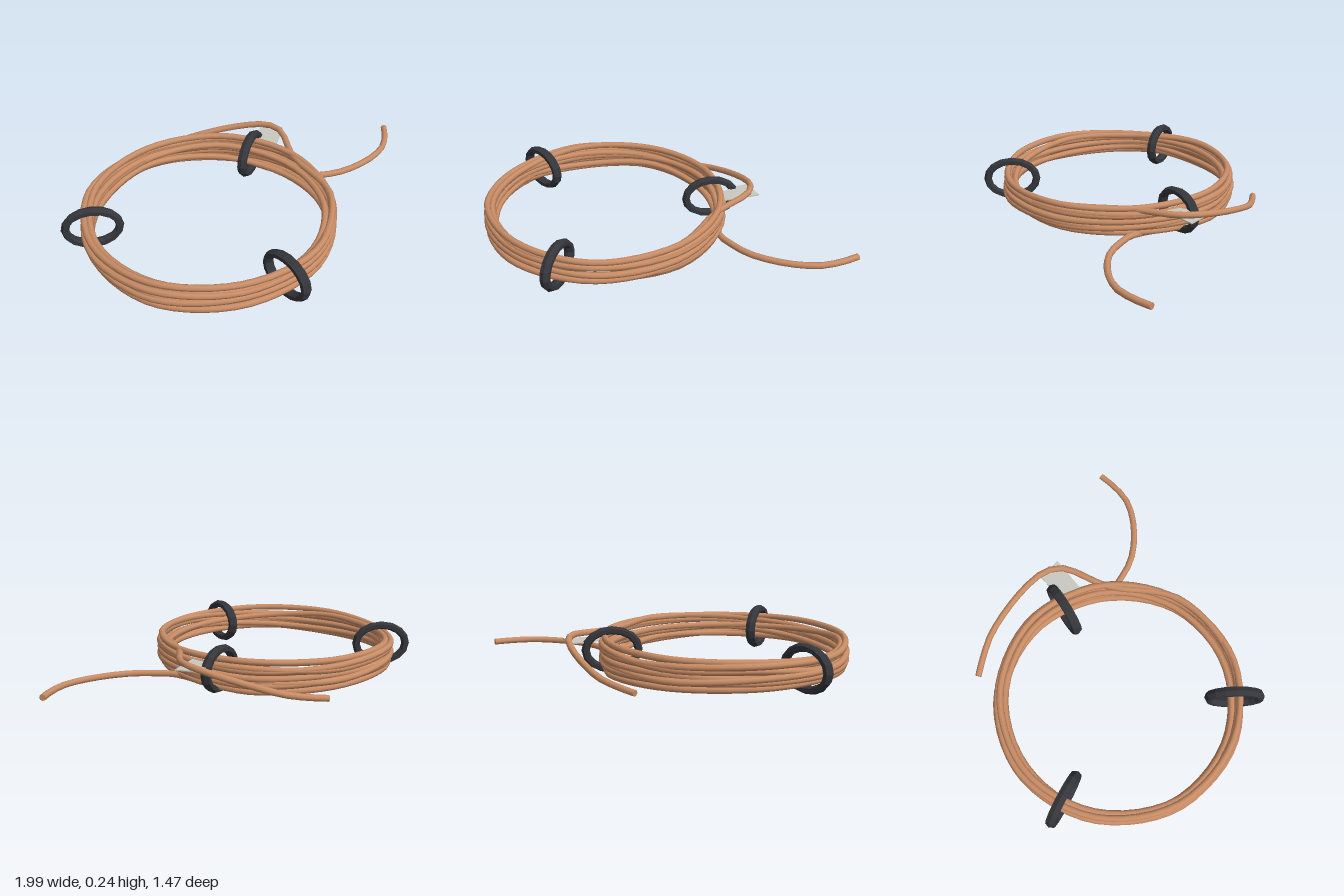
import * as THREE from 'three';

const wireMat = new THREE.MeshStandardMaterial({ color: 0xc98d66, name: 'copper wire' });
const ringMat = new THREE.MeshStandardMaterial({ color: 0x35363b, name: 'dark tie' });
const tagMat = new THREE.MeshStandardMaterial({ color: 0xc9c9c0, name: 'pale tag' });

const CX = -0.35, CZ = -0.015, WIRE = 0.017;

// small seeded random in -1..1
function seeded(seed) {
  let s = seed;
  return () => {
    s = (s * 16807) % 2147483647;
    return (s / 2147483647) * 2 - 1;
  };
}

// one continuous wire: loose tail, irregular turns, loose tail
function makeWire() {
  const rand = seeded(4711);
  const v = (x, y, z) => new THREE.Vector3(x, y, z);
  const pts = [
    v(0.985, 0.045, 0.085), v(0.92, 0.045, 0.14), v(0.82, 0.045, 0.2), v(0.71, 0.045, 0.22),
    v(0.57, 0.045, 0.21), v(0.44, 0.045, 0.17), v(0.34, 0.045, 0.1), v(0.275, 0.045, 0.035),
  ];
  // height of each turn and its lean to the outside or inside of the bundle
  const levels = [0.045, 0.075, 0.11, 0.055, 0.145, 0.185, 0.13, 0.085, 0.165, 0.05, 0.115, 0.175];
  const leans = [0.6, 1, 0.9, -0.7, 1, 0.5, -0.8, 0.9, 0.9, 0.3, -0.6, 0.6];
  const turns = levels.length - 1, knots = 9;
  for (let i = 1; i < turns * knots; i++) {
    const t = i / knots, k = Math.floor(t), f = t - k, a = f * Math.PI * 2;
    const s = f * f * (3 - 2 * f);
    const y = THREE.MathUtils.lerp(levels[k], levels[k + 1], s) + rand() * 0.016;
    const lean = THREE.MathUtils.lerp(leans[k], leans[k + 1], s) + rand() * 0.3;
    // the bundle is tightest on its right side
    const spread = 0.029 - 0.012 * Math.max(0, Math.cos(a));
    const r = 0.602 + spread * THREE.MathUtils.clamp(lean, -1.25, 1.08);
    pts.push(v(CX + r * Math.cos(a), THREE.MathUtils.clamp(y, 0.038, 0.199), CZ - r * Math.sin(a)));
  }
  pts.push(
    v(0.248, 0.175, 0.02), v(0.31, 0.178, -0.08), v(0.37, 0.182, -0.17), v(0.39, 0.185, -0.24),
    v(0.37, 0.175, -0.33), v(0.3, 0.147, -0.44), v(0.2, 0.112, -0.55), v(0.1, 0.08, -0.635),
    v(0.0, 0.06, -0.685), v(-0.105, 0.045, -0.725),
  );
  const curve = new THREE.CatmullRomCurve3(pts);
  const group = new THREE.Group();
  group.name = 'wire';
  const coil = new THREE.Mesh(new THREE.TubeGeometry(curve, 620, WIRE, 8), wireMat);
  coil.name = 'coiledWire';
  group.add(coil);
  // flat cut ends
  for (const [t, dir] of [[0, -1], [1, 1]]) {
    const cap = new THREE.Mesh(new THREE.CircleGeometry(WIRE, 8), wireMat);
    cap.name = 'wireEnd';
    cap.position.copy(curve.getPointAt(t));
    cap.quaternion.setFromUnitVectors(v(0, 0, 1), curve.getTangentAt(t).multiplyScalar(dir));
    group.add(cap);
  }
  return group;
}

// oval tie around the bundle, pointing along the angle in plan
function makeTie(x, z, angle) {
  const geo = new THREE.TorusGeometry(0.13, 0.021, 6, 16);
  const p = geo.attributes.position;
  for (let i = 0; i < p.count; i++) {
    // squash the ring's centre line into an oval, keep the band thickness
    const px = p.getX(i), py = p.getY(i), l = Math.hypot(px, py);
    const off = l - 0.13, c = px / l, s = py / l;
    p.setXYZ(i, c * (0.135 + off), s * (0.1 + off), p.getZ(i) * 1.3);
  }
  const mesh = new THREE.Mesh(geo.toNonIndexed(), ringMat);
  mesh.geometry.computeVertexNormals();
  mesh.name = 'tie';
  mesh.position.set(x, 0.121, z);
  mesh.rotation.y = angle;
  return mesh;
}

// thin flat tag hanging from the right tie
function makeTag() {
  const shape = new THREE.Shape([
    [0.36, 0.33], [0.29, 0.285], [0.235, 0.2], [0.25, 0.12], [0.44, 0.23],
  ].map(([x, y]) => new THREE.Vector2(x, y)));
  const geo = new THREE.ExtrudeGeometry(shape, { depth: 0.006, bevelEnabled: false });
  geo.rotateX(-Math.PI / 2);
  const tag = new THREE.Mesh(geo, tagMat);
  tag.name = 'tag';
  tag.position.y = 0.158;
  return tag;
}

export function createModel() {
  const model = new THREE.Group();
  model.name = 'wireCoil';
  model.add(makeWire());
  for (const [x, z, dx, dz] of [
    [-0.825, -0.36, 0.25, 0.18],
    [0.173, -0.23, 0.275, -0.12],
    [-0.432, 0.575, 0.04, -0.31],
  ]) model.add(makeTie(x, z, Math.atan2(-dz, dx)));
  model.add(makeTag());
  return model;
}
